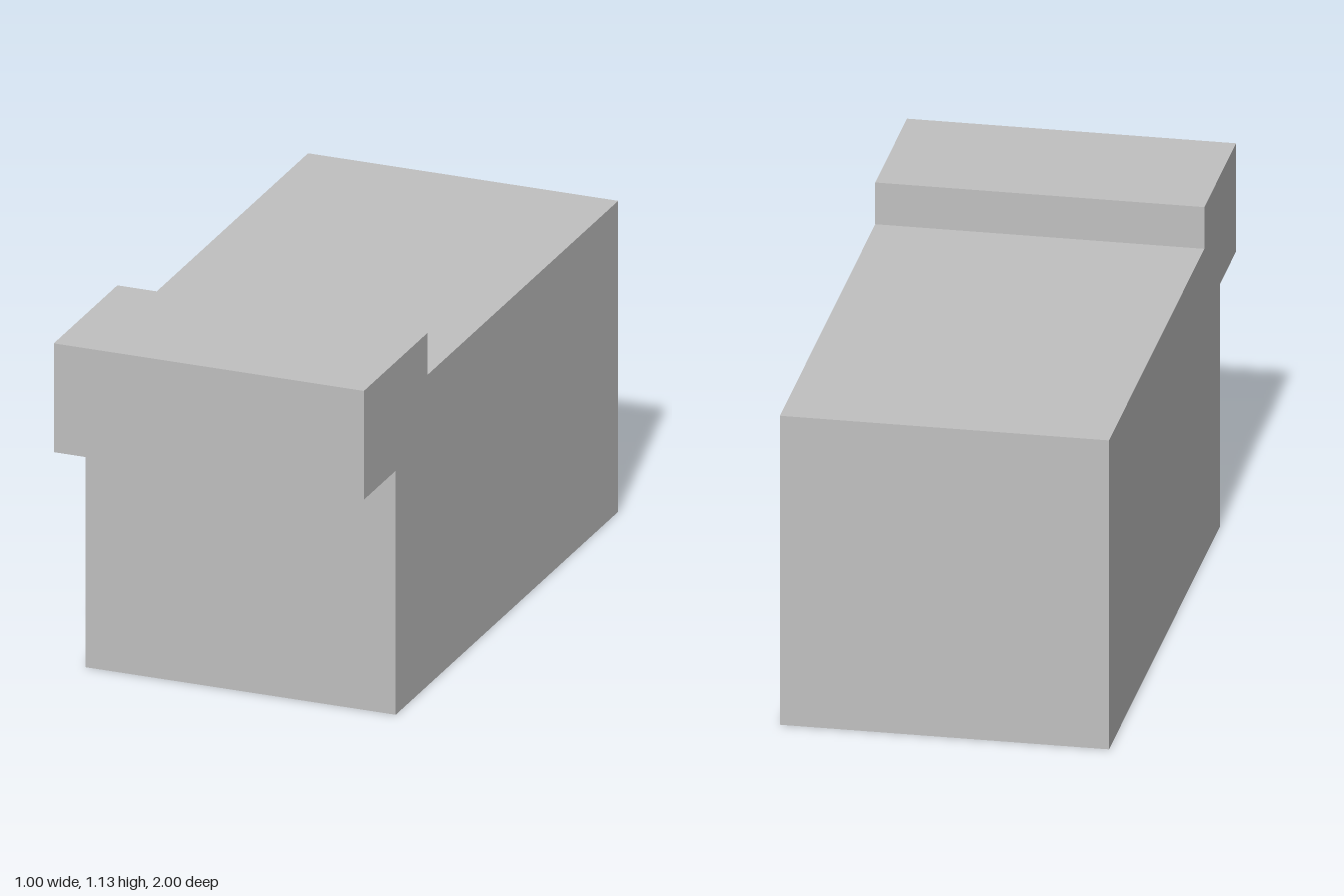
import * as THREE from 'three';

export function createModel() {
  const group = new THREE.Group();
  group.name = 'steppedBlock';
  const grey = new THREE.MeshStandardMaterial({ color: 0xc0c0c0 });
  grey.name = 'grey';

  // Side profile as (z, y): long body with a raised, overhanging front lip
  const profile = new THREE.Shape([
    [-1, 0], [0.75, 0], [0.75, 0.785], [1, 0.785],
    [1, 1.135], [0.5, 1.135], [0.5, 1], [-1, 1],
  ].map(([z, y]) => new THREE.Vector2(z, y)));

  // Extrude across the width, then turn the profile to run along z
  const geometry = new THREE.ExtrudeGeometry(profile, { depth: 1, bevelEnabled: false });
  geometry.translate(0, 0, -0.5).rotateY(-Math.PI / 2);

  const body = new THREE.Mesh(geometry, grey);
  body.name = 'bodyWithFrontLip';
  group.add(body);
  return group;
}
